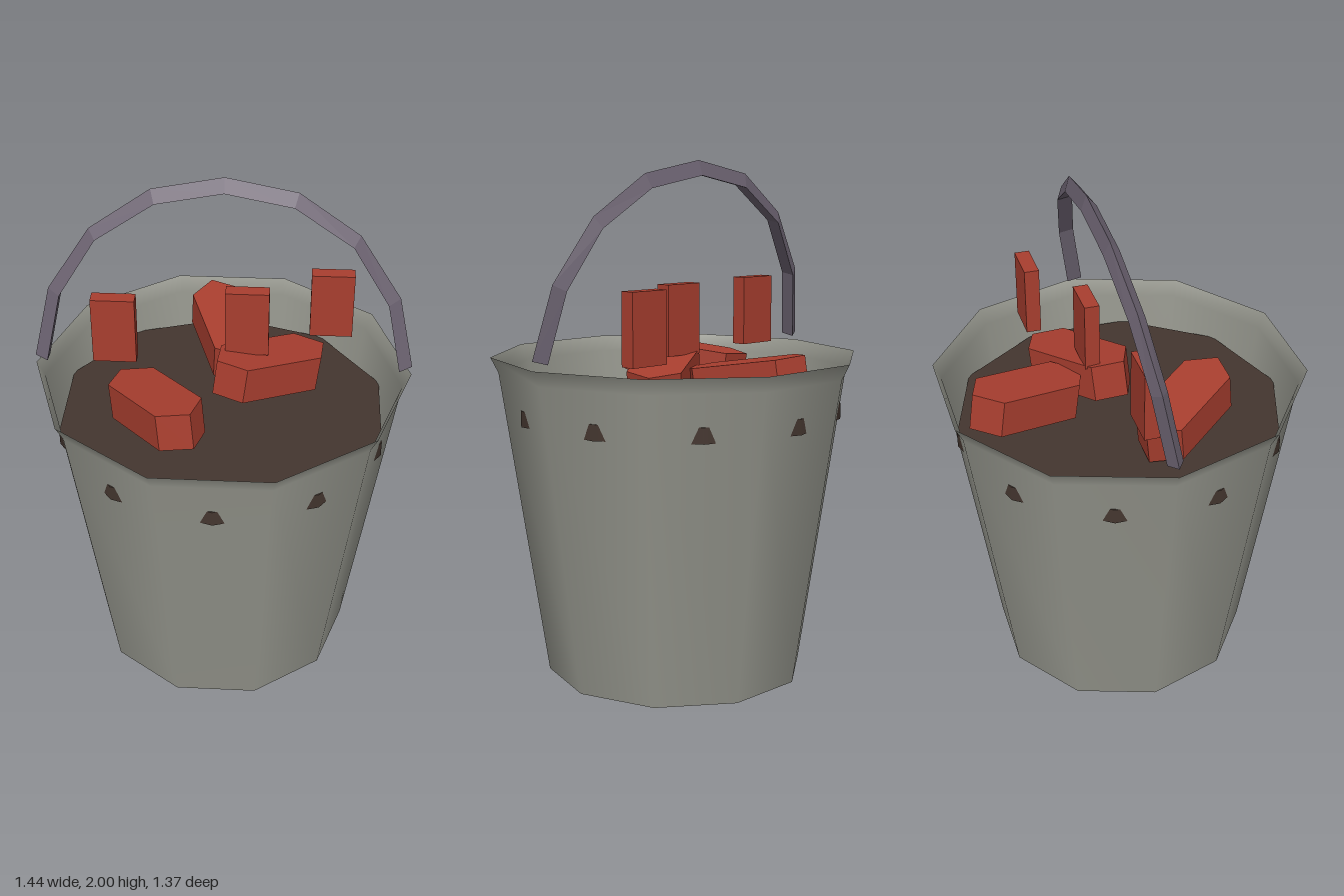
import * as THREE from 'three';

const mat = (name, color, side = THREE.FrontSide) => {
  const m = new THREE.MeshStandardMaterial({ color, side });
  m.name = name;
  return m;
};

// Triangular bar swept along an arch; rim points are [x, y] for the outer edge and inner edge
function archGeometry(outer, inner, halfWidth) {
  const mirror = (pts) => [...pts.slice(1).reverse().map(([x, y]) => [-x, y]), ...pts];
  const out = mirror(outer), inn = mirror(inner);
  const rings = out.map(([x, y], i) => [
    [x, y, 0],
    [inn[i][0], inn[i][1], halfWidth],
    [inn[i][0], inn[i][1], -halfWidth],
  ]);
  const pos = [];
  const tri = (...corners) => corners.forEach((p) => pos.push(...p));
  for (let i = 0; i < rings.length - 1; i++) {
    for (let k = 0; k < 3; k++) {
      const n = (k + 1) % 3;
      tri(rings[i][k], rings[i][n], rings[i + 1][n]);
      tri(rings[i][k], rings[i + 1][n], rings[i + 1][k]);
    }
  }
  const first = rings[0], last = rings[rings.length - 1];
  tri(first[0], first[2], first[1]);
  tri(last[0], last[1], last[2]);
  const g = new THREE.BufferGeometry();
  g.setAttribute('position', new THREE.Float32BufferAttribute(pos, 3));
  g.computeVertexNormals();
  return g;
}

export function createModel() {
  const model = new THREE.Group();
  model.name = 'bucket';

  const metal = mat('grey metal', 0x95968d, THREE.DoubleSide);
  const iron = mat('handle iron', 0x6b6270);
  const soilMat = mat('brown soil', 0x44362f);
  const red = mat('red chunk', 0xa83e2f);

  const add = (name, geometry, material, x = 0, y = 0, z = 0) => {
    const mesh = new THREE.Mesh(geometry, material);
    mesh.name = name;
    mesh.position.set(x, y, z);
    model.add(mesh);
    return mesh;
  };

  // Ten-sided tapered wall with a flared lip
  const profile = [[0.51, 0], [0.69, 1.2], [0.72, 1.26]].map(([r, y]) => new THREE.Vector2(r, y));
  add('bucketWall', new THREE.LatheGeometry(profile, 10).rotateY(Math.PI / 2), metal);

  // Flat base
  add('bucketBase', new THREE.CircleGeometry(0.51, 10).rotateX(Math.PI / 2), metal);

  // Soil disc, turned half a side so its corners push through the wall
  add('soil', new THREE.CylinderGeometry(0.645, 0.645, 0.06, 10), soilMat, 0, 1.05, 0);

  // Handle leaning back
  const handle = add('handle', archGeometry(
    [[0, 0.72], [0.27, 0.67], [0.5, 0.515], [0.66, 0.275], [0.72, 0]],
    [[0, 0.667], [0.255, 0.62], [0.475, 0.477], [0.615, 0.255], [0.67, -0.01]],
    0.03
  ), iron, 0, 1.295, 0);
  handle.rotation.x = -0.17;

  // Long six-sided chunks, each with one end raised; [x, z, direction of raised end]
  const hex = new THREE.Shape(
    [[0, 0.245], [-0.102, 0.168], [-0.102, -0.168], [0, -0.245], [0.102, -0.168], [0.102, 0.168]]
      .map(([x, y]) => new THREE.Vector2(x, y))
  );
  const chunkGeo = new THREE.ExtrudeGeometry(hex, { depth: 0.145, bevelEnabled: false });
  chunkGeo.rotateX(-Math.PI / 2).translate(0, -0.145, 0);
  const chunks = [
    [-0.247, 0.174, 0.62, 0.785],
    [0.183, -0.12, -0.84, 0.54],
    [0, -0.36, -0.33, -0.945],
  ];
  chunks.forEach(([x, z, dx, dz], i) => {
    const chunk = add(`chunk${i + 1}`, chunkGeo, red, x, 1.264, z);
    chunk.rotation.set(-0.15, Math.atan2(dx, dz), 0, 'YXZ');
  });

  // Upright slabs hovering above the soil
  const slabGeo = new THREE.BoxGeometry(0.167, 0.27, 0.058);
  [[-0.415, -0.028], [0.088, -0.105], [0.413, -0.256]].forEach(([x, z], i) =>
    add(`slab${i + 1}`, slabGeo, red, x, 1.41, z));

  return model;
}
